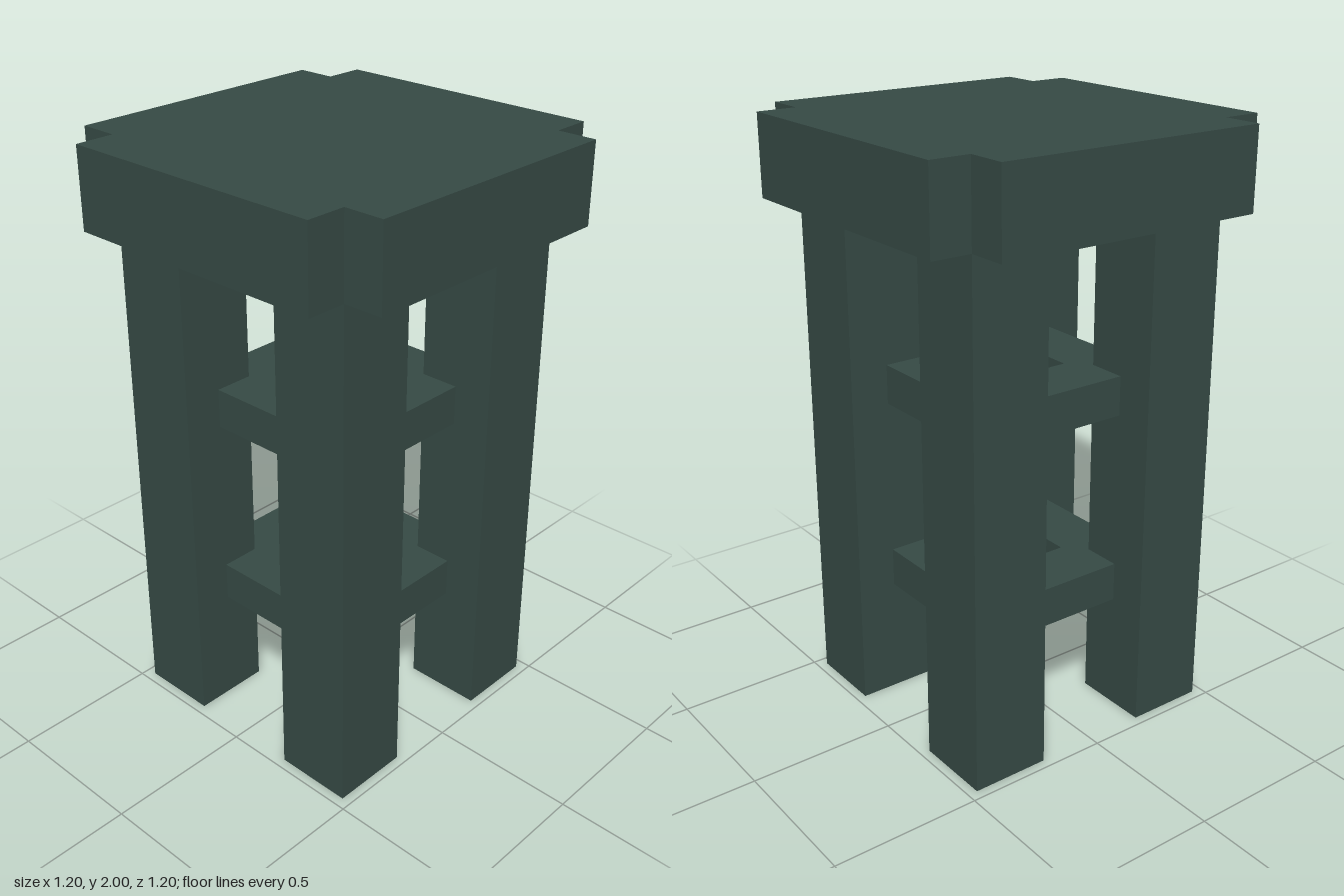
import * as THREE from 'three';

export function createModel() {
  const model = new THREE.Group();
  const darkGreen = new THREE.MeshStandardMaterial({ color: 0x364a45 });
  darkGreen.name = 'darkGreen';
  const u = 1 / 15; // all sizes are whole multiples of this unit

  const add = (name, geometry, x, y, z) => {
    const mesh = new THREE.Mesh(geometry, darkGreen);
    mesh.name = name;
    mesh.position.set(x * u, y * u, z * u);
    model.add(mesh);
    return mesh;
  };
  const box = (w, h, d) => new THREE.BoxGeometry(w * u, h * u, d * u);

  // Seat: thick square slab with notched corners
  const outline = [
    [9, -7], [9, 7], [7, 7], [7, 9], [-7, 9], [-7, 7],
    [-9, 7], [-9, -7], [-7, -7], [-7, -9], [7, -9], [7, -7],
  ].map(([x, y]) => new THREE.Vector2(x * u, y * u));
  const seat = new THREE.ExtrudeGeometry(new THREE.Shape(outline), { depth: 4 * u, bevelEnabled: false });
  seat.rotateX(-Math.PI / 2);
  add('seat', seat, 0, 26, 0);

  // Four square legs
  for (const x of [-1, 1]) {
    for (const z of [-1, 1]) {
      add(`${z > 0 ? 'front' : 'back'}${x > 0 ? 'Left' : 'Right'}Leg`, box(4, 26, 4), x * 5, 13, z * 5);
    }
  }

  // Two rings of rungs between the legs; side rungs butt against the front and back ones
  for (const [level, y] of [['lower', 7], ['upper', 17]]) {
    for (const s of [-1, 1]) {
      add(`${level}${s > 0 ? 'Front' : 'Back'}Rung`, box(6, 2, 3), 0, y, s * 3.5);
      add(`${level}${s > 0 ? 'Left' : 'Right'}Rung`, box(3, 2, 6), s * 3.5, y, 0);
    }
  }
  return model;
}
